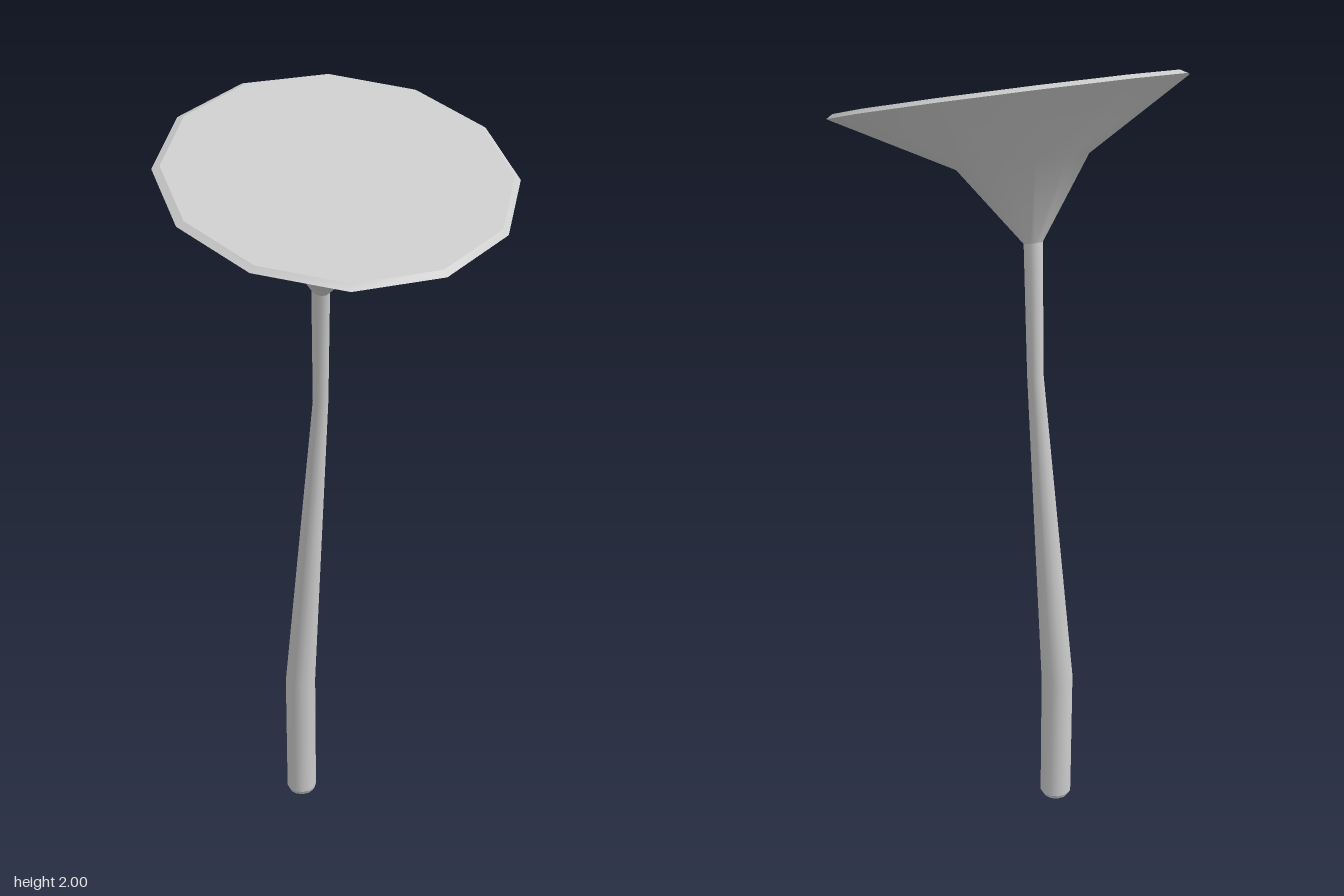
import * as THREE from 'three';

const SIDES = 12;
const TILT = [0.1, -0.31]; // rise per unit of x and z, shared by the flower head

// One ring of points around a centre, sheared to follow a tilt
function ring([x, y, z, rx, rz = rx, tilt = [0, 0]]) {
  const points = [];
  for (let i = 0; i < SIDES; i++) {
    const a = (i / SIDES) * Math.PI * 2 + 0.025;
    const dx = rx * Math.cos(a), dz = rz * Math.sin(a);
    points.push([x + dx, y + tilt[0] * dx + tilt[1] * dz, z + dz]);
  }
  return points;
}

// Smooth skin through rings listed from bottom to top
function loft(sections) {
  const index = [];
  for (let s = 0; s < sections.length - 1; s++) {
    for (let i = 0; i < SIDES; i++) {
      const j = (i + 1) % SIDES;
      const a = s * SIDES + i, b = s * SIDES + j;
      index.push(a, a + SIDES, b, b, a + SIDES, b + SIDES);
    }
  }
  return build(sections.flatMap(ring).flat(), index);
}

// Flat disc closing a ring
function disc(section, up) {
  const index = [];
  for (let i = 1; i < SIDES - 1; i++) index.push(0, ...(up ? [i + 1, i] : [i, i + 1]));
  return build(ring(section).flat(), index);
}

function build(positions, index) {
  const geometry = new THREE.BufferGeometry();
  geometry.setAttribute('position', new THREE.Float32BufferAttribute(positions, 3));
  geometry.setIndex(index);
  geometry.computeVertexNormals();
  return geometry;
}

export function createModel() {
  const group = new THREE.Group();
  const material = new THREE.MeshStandardMaterial({ color: 0xcccccc });
  const add = (name, geometry) => {
    const mesh = new THREE.Mesh(geometry, material);
    mesh.name = name;
    group.add(mesh);
  };

  // Sections: x, y, z, radius in x, radius in z, tilt
  const foot = [0.02, 0, -0.207, 0.035];
  const ankle = [0.02, 0.012, -0.207, 0.041];
  const neck = [0.028, 1.547, -0.113, 0.023, 0.023, TILT];
  const throat = [0.018, 1.73, -0.065, 0.157, 0.155, TILT];
  const rim = [0, 1.867, -0.002, 0.435, 0.407, TILT];
  const lip = [0, 1.876, 0.002, 0.418, 0.391, TILT];

  // Bent, tapering stem
  add('stemBase', disc(foot, false));
  add('stemBevel', loft([foot, ankle]));
  add('stem', loft([ankle, [0.02, 0.37, -0.207, 0.041], [0.055, 1.23, -0.153, 0.02], neck]));

  // Tilted funnel-shaped head with a bevelled rim and flat face
  add('funnel', loft([neck, throat, rim]));
  add('rimBevel', loft([rim, lip]));
  add('face', disc(lip, true));

  return group;
}
